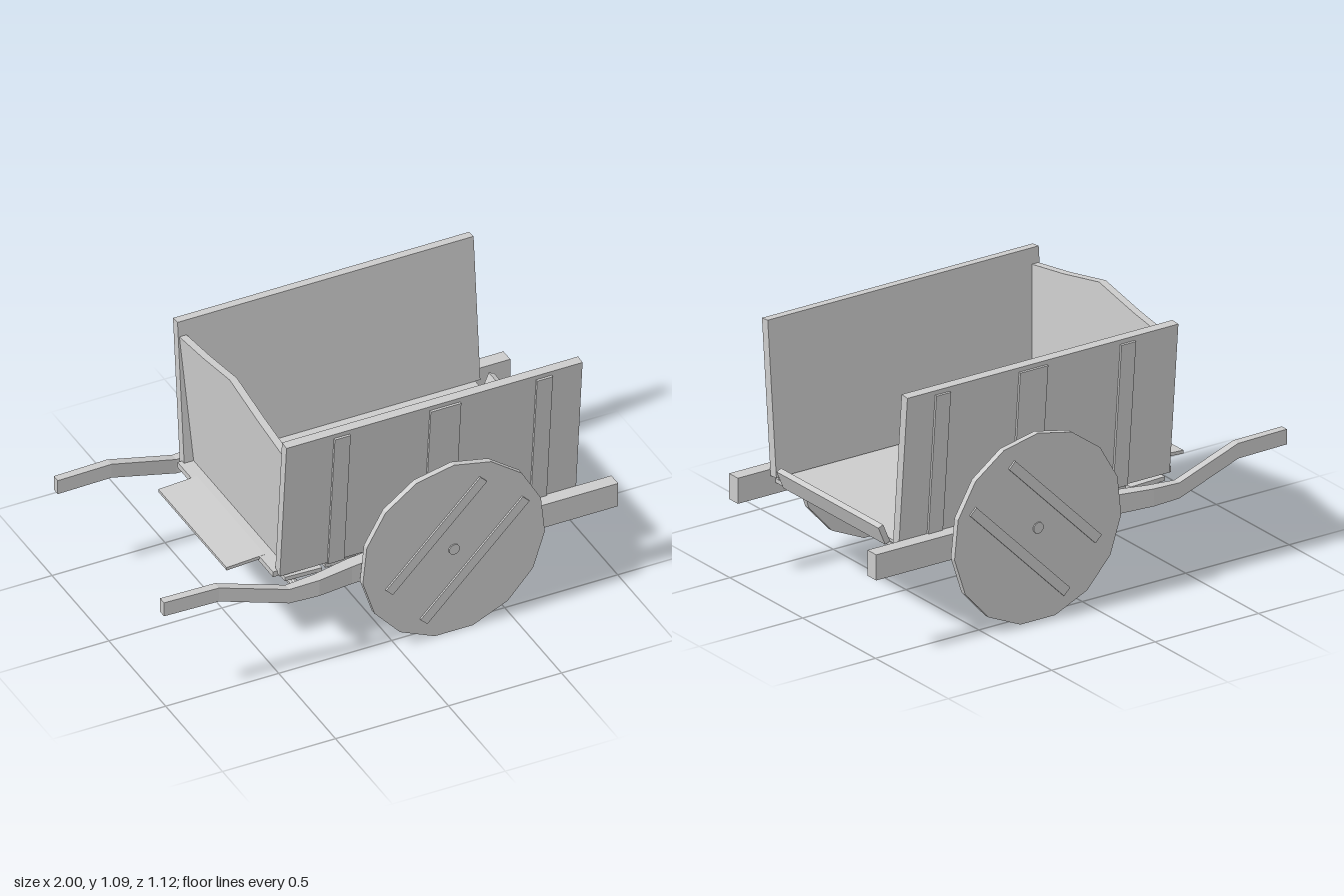
import * as THREE from 'three';

const material = new THREE.MeshStandardMaterial({ color: 0xcccccc, flatShading: true });

export function createModel() {
  const cart = new THREE.Group();
  cart.name = 'cart';

  const add = (name, geometry, x = 0, y = 0, z = 0, parent = cart) => {
    const mesh = new THREE.Mesh(geometry, material);
    mesh.name = name;
    mesh.position.set(x, y, z);
    parent.add(mesh);
    return mesh;
  };
  const box = (name, w, h, d, x, y, z, parent) =>
    add(name, new THREE.BoxGeometry(w, h, d), x, y, z, parent);

  // Bar along x, shaped by stations of [x, bottom, top, inner z, outer z]
  function shaftGeometry(stations, side) {
    const n = stations.length - 1;
    const geometry = new THREE.BoxGeometry(n, 1, 1, n, 1, 1);
    const p = geometry.attributes.position;
    for (let i = 0; i < p.count; i++) {
      const [x, bottom, top, inner, outer] = stations[Math.round(p.getX(i) + n / 2)];
      const z = p.getZ(i) * side > 0 ? outer : inner;
      p.setXYZ(i, x, p.getY(i) > 0 ? top : bottom, z * side);
    }
    geometry.computeVertexNormals();
    return geometry;
  }
  const shaftStations = [
    [-1, 0.435, 0.5, 0.45, 0.485],
    [-0.76, 0.435, 0.5, 0.455, 0.492],
    [-0.46, 0.345, 0.412, 0.48, 0.515],
    [-0.33, 0.345, 0.42, 0.475, 0.523],
    [-0.18, 0.345, 0.427, 0.45, 0.507],
    [0.1, 0.345, 0.455, 0.445, 0.505],
    [1, 0.345, 0.455, 0.445, 0.505],
  ];

  const lean = 0.09;
  for (const side of [1, -1]) {
    const label = side > 0 ? 'front' : 'back';

    // Shaft with bent handle
    add(label + 'Shaft', shaftGeometry(shaftStations, side));

    // Leaning side wall with outer battens
    const wall = new THREE.Group();
    wall.name = label + 'Wall';
    wall.position.set(0.19, 0.76, side * 0.45);
    wall.rotation.x = side * lean;
    cart.add(wall);
    box('wallBoard', 1.31, 0.66, 0.04, 0, 0, 0, wall);
    for (const [x, width] of [[-0.22, 0.07], [0.237, 0.135], [0.675, 0.07]])
      box('wallBatten', width, 0.64, 0.012, x - 0.19, -0.01, side * 0.024, wall);

    // Solid wheel with two diagonal battens
    const wheel = new THREE.Group();
    wheel.name = label + 'Wheel';
    wheel.position.set(0.25, 0.405, side * 0.537);
    cart.add(wheel);
    const disc = new THREE.CylinderGeometry(0.405, 0.405, 0.026, 15);
    disc.rotateX(-Math.PI / 2); // one corner at the top
    add('wheelDisc', disc, 0, 0, 0, wheel);
    for (const [x, y, length] of [[-0.08, 0.092, 0.59], [0.09, -0.08, 0.64]])
      box('wheelBatten', length, 0.042, 0.012, x, y, side * 0.015, wheel).rotation.z = Math.PI / 4;
  }

  // Axle through both wheels
  const axle = new THREE.CylinderGeometry(0.024, 0.024, 1.112, 10).rotateX(Math.PI / 2);
  add('axle', axle, 0.25, 0.405, 0);

  // Round crossbar between the shafts
  const bar = new THREE.CylinderGeometry(0.018, 0.018, 0.98, 10).rotateX(Math.PI / 2);
  add('crossbar', bar, -0.4, 0.373, 0);

  // Floor, with crosswise planks beneath
  box('floor', 1.27, 0.012, 0.83, 0.19, 0.424, 0);
  for (let i = 0; i < 7; i++) {
    const plank = box('floorPlank', 0.165, 0.018, 0.88 - (i % 2) * 0.02,
      -0.36 + i * 0.183, 0.406 + (i % 3) * 0.003, 0);
    plank.rotation.z = ((i % 3) - 1) * 0.03;
  }

  // Head sill and footboard
  box('headSill', 0.09, 0.025, 0.84, -0.44, 0.432, 0);
  box('footboard', 0.17, 0.014, 0.6, -0.545, 0.434, 0).rotation.z = 0.06;

  // Tilted tail board
  box('tailBoard', 0.025, 0.085, 0.7, 0.852, 0.452, 0).rotation.z = -0.4;

  // Peaked headboard, leaning outward
  const outline = new THREE.Shape([
    [-0.405, 0.43], [0.405, 0.43], [0.458, 1.022], [0.24, 1.055],
    [0, 1.102], [-0.24, 1.055], [-0.458, 1.022],
  ].map(([z, y]) => new THREE.Vector2(z, y)));
  const head = new THREE.ExtrudeGeometry(outline, { depth: 0.032, bevelEnabled: false });
  head.rotateY(Math.PI / 2);
  const p = head.attributes.position;
  for (let i = 0; i < p.count; i++)
    p.setX(i, p.getX(i) - 0.422 - (p.getY(i) - 0.43) * 0.064);
  head.computeVertexNormals();
  add('headboard', head);

  return cart;
}
